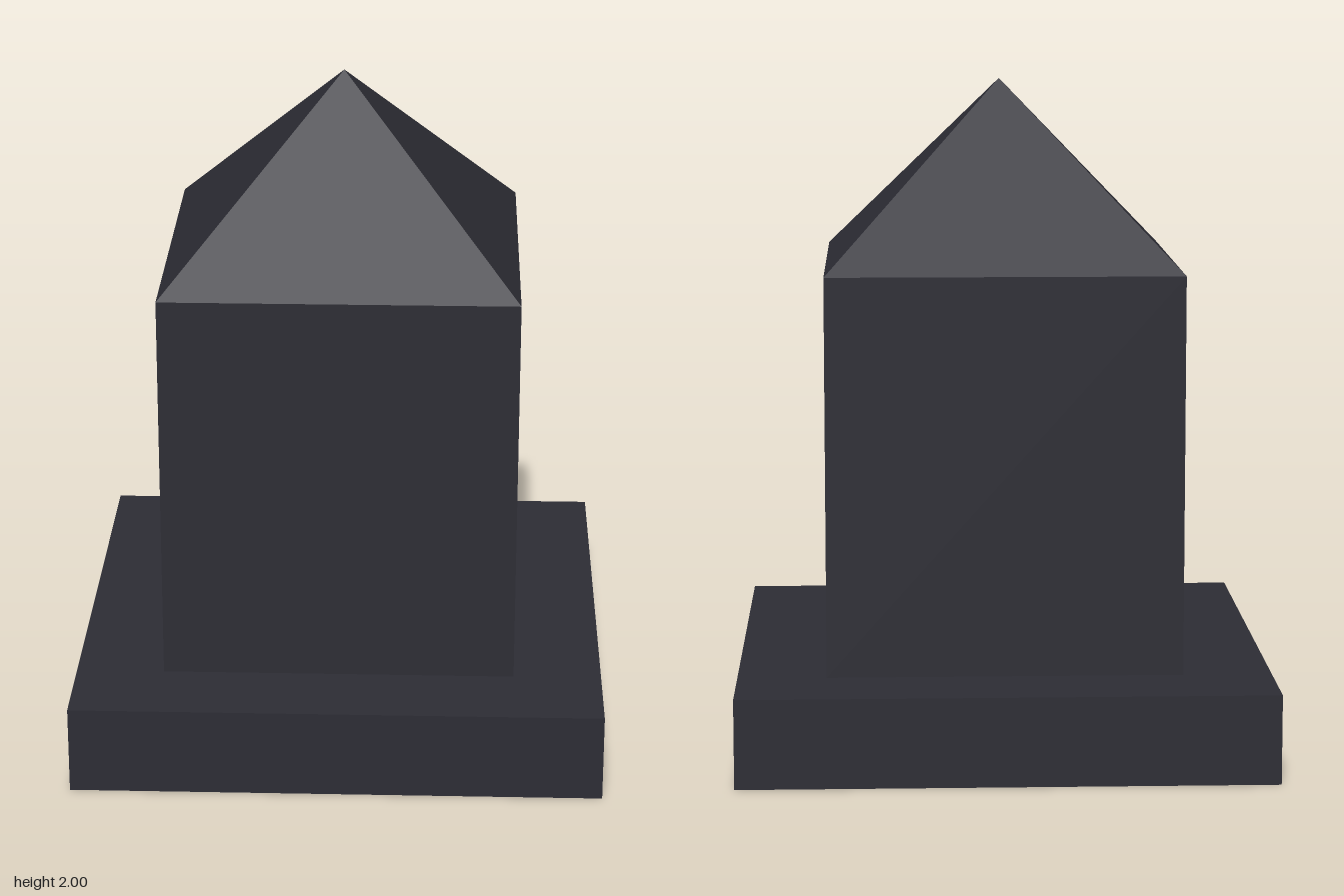
import * as THREE from 'three';

export function createModel() {
  const group = new THREE.Group();
  const darkSlate = new THREE.MeshStandardMaterial({ color: 0x2d2d35, flatShading: true });
  darkSlate.name = 'darkSlate';

  const add = (name, geometry, y) => {
    const mesh = new THREE.Mesh(geometry, darkSlate);
    mesh.name = name;
    mesh.position.y = y;
    group.add(mesh);
  };

  const baseWidth = 1.58, baseHeight = 0.265;
  const bodyWidth = 1.054, bodyTop = 1.45, roofHeight = 0.55;

  // Square plinth
  add('base', new THREE.BoxGeometry(baseWidth, baseHeight, baseWidth), baseHeight / 2);

  // Square pillar
  const bodyHeight = bodyTop - baseHeight;
  add('pillar', new THREE.BoxGeometry(bodyWidth, bodyHeight, bodyWidth), baseHeight + bodyHeight / 2);

  // Pyramid cap, turned so its sides line up with the pillar
  const cap = new THREE.ConeGeometry(bodyWidth / Math.SQRT2, roofHeight, 4).rotateY(Math.PI / 4);
  add('pyramidCap', cap, bodyTop + roofHeight / 2);

  return group;
}
